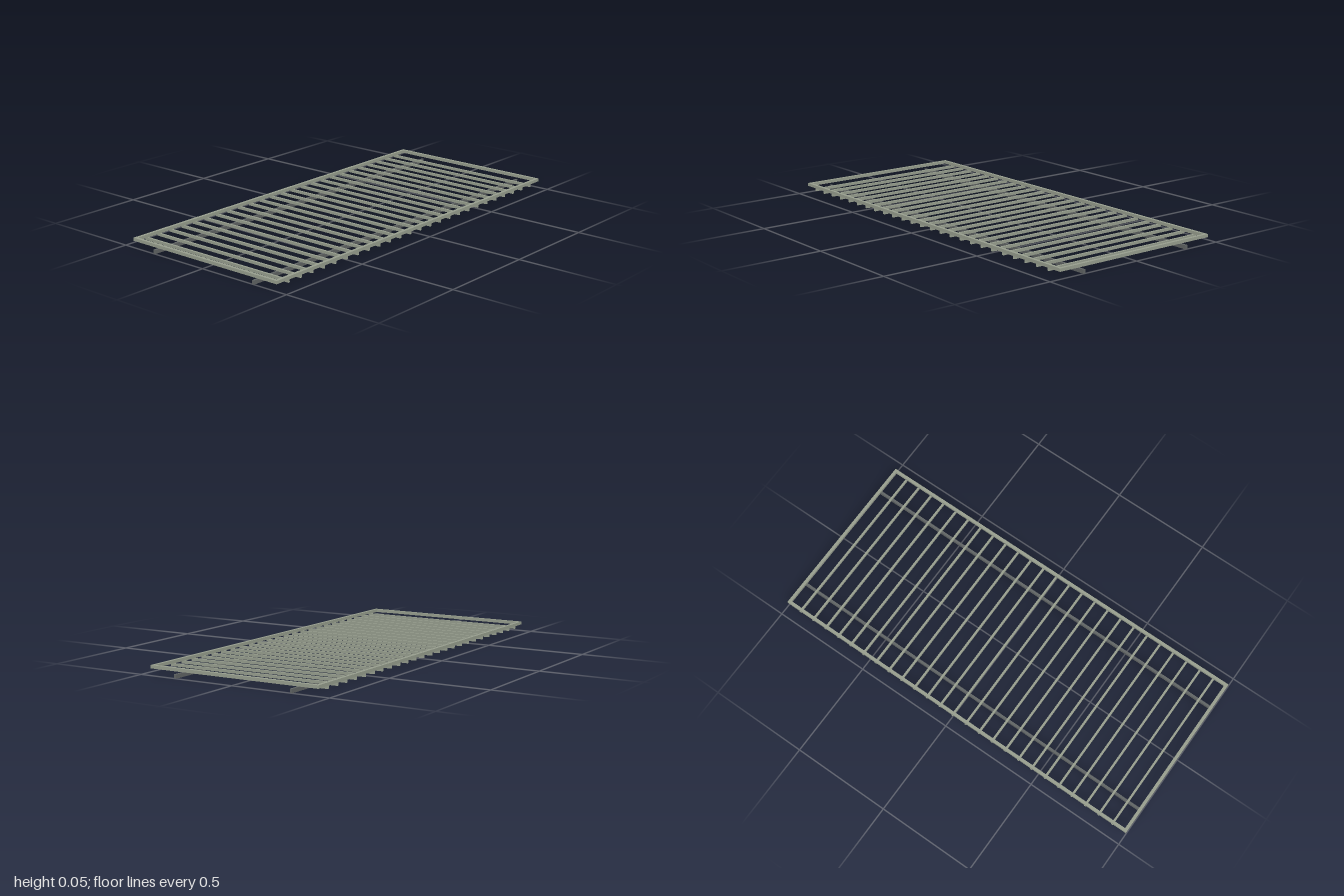
import * as THREE from 'three';

export function createModel() {
  const group = new THREE.Group();
  const frameMat = new THREE.MeshStandardMaterial({ color: 0x969d8d, side: THREE.DoubleSide });
  frameMat.name = 'grey green metal';
  const railMat = new THREE.MeshStandardMaterial({ color: 0x5f6363 });
  railMat.name = 'dark grey metal';

  const W = 1, D = 0.445, T = 0.015;

  const add = (name, geometry, material, x, y, z) => {
    const mesh = new THREE.Mesh(geometry, material);
    mesh.name = name;
    mesh.position.set(x, y, z);
    group.add(mesh);
  };

  // rectangular top frame
  const longBar = new THREE.BoxGeometry(2 * W, T, T);
  const endBar = new THREE.BoxGeometry(T, T, 2 * (D - T));
  // support rails underneath
  const rail = new THREE.BoxGeometry(2 * W, 0.019, 0.012);
  for (const s of [-1, 1]) {
    add('frameLongBar', longBar, frameMat, 0, 0.0405, s * (D - T / 2));
    add('frameEndBar', endBar, frameMat, s * (W - T / 2), 0.0405, 0);
    add('supportRail', rail, railMat, 0, 0.0095, s * 0.308);
  }

  // hollow square slats, open at both ends
  const slat = new THREE.CylinderGeometry(Math.SQRT1_2, Math.SQRT1_2, 2 * D, 4, 1, true)
    .rotateY(Math.PI / 4)
    .rotateX(Math.PI / 2)
    .scale(0.01, 0.013, 1)
    .toNonIndexed();
  slat.computeVertexNormals();
  for (let i = -12; i <= 12; i++) add('slat', slat, frameMat, i / 13, 0.0265, 0);

  return group;
}
